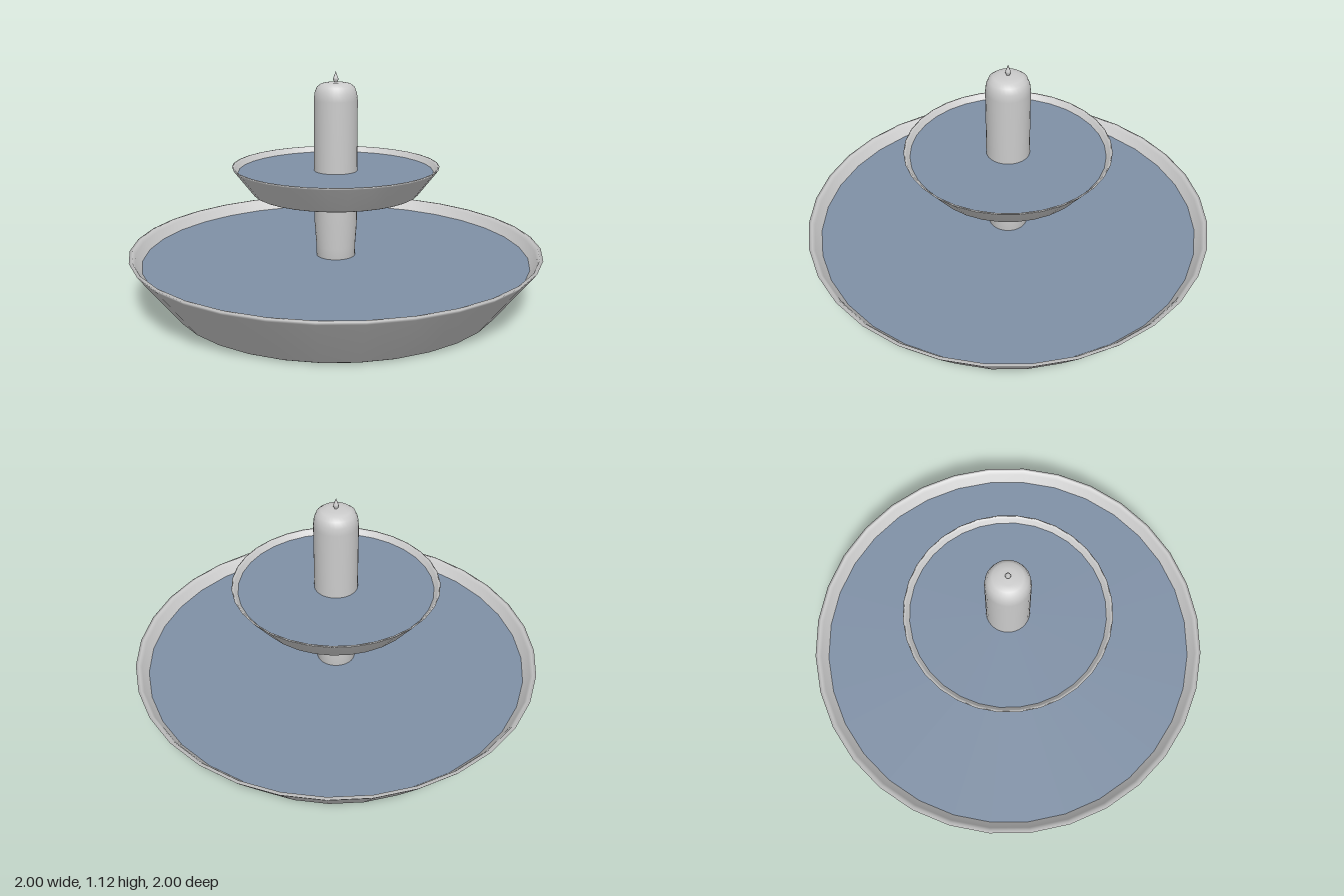
import * as THREE from 'three';

const SEGMENTS = 32;
const stone = new THREE.MeshStandardMaterial({ color: 0xcccccc });
const waterMaterial = new THREE.MeshStandardMaterial({ color: 0x7f90a6 });

// Solid of revolution from [radius, height] pairs, listed bottom to top on the outside
function lathe(name, profile, segments = SEGMENTS) {
  const points = profile.map(([r, y]) => new THREE.Vector2(r, y));
  const mesh = new THREE.Mesh(new THREE.LatheGeometry(points, segments), stone);
  mesh.name = name;
  return mesh;
}

// Flared basin with a thin wall and a disc of water inside
function basin(name, scale, y) {
  const group = new THREE.Group();
  group.name = name;
  group.add(lathe(name + 'Bowl', [
    [0, 0], [0.79, 0], [0.805, 0.008], [0.99, 0.25], [1, 0.265],
    [0.985, 0.267], [0.972, 0.25], [0.79, 0.02], [0, 0.02],
  ]));
  const water = new THREE.Mesh(new THREE.CircleGeometry(0.948, SEGMENTS), waterMaterial);
  water.name = name + 'Water';
  water.rotation.x = -Math.PI / 2;
  water.position.y = 0.212;
  group.add(water);
  group.scale.setScalar(scale);
  group.position.y = y;
  return group;
}

export function createModel() {
  const fountain = new THREE.Group();
  fountain.name = 'fountain';

  fountain.add(basin('lowerBasin', 1, 0));
  fountain.add(basin('upperBasin', 0.5, 0.533));

  // Central column, slightly tapered at the foot and rounded at the top
  fountain.add(lathe('column', [
    [0, 0.02], [0.09, 0.02], [0.096, 0.265], [0.104, 0.38], [0.105, 0.55], [0.105, 0.98],
    [0.101, 1.015], [0.09, 1.043], [0.07, 1.058], [0.04, 1.064], [0, 1.065],
  ]));

  // Small drop-shaped spout
  fountain.add(lathe('spout', [
    [0.005, 1.06], [0.013, 1.077], [0.012, 1.085], [0.006, 1.1], [0, 1.117],
  ], 12));

  return fountain;
}
